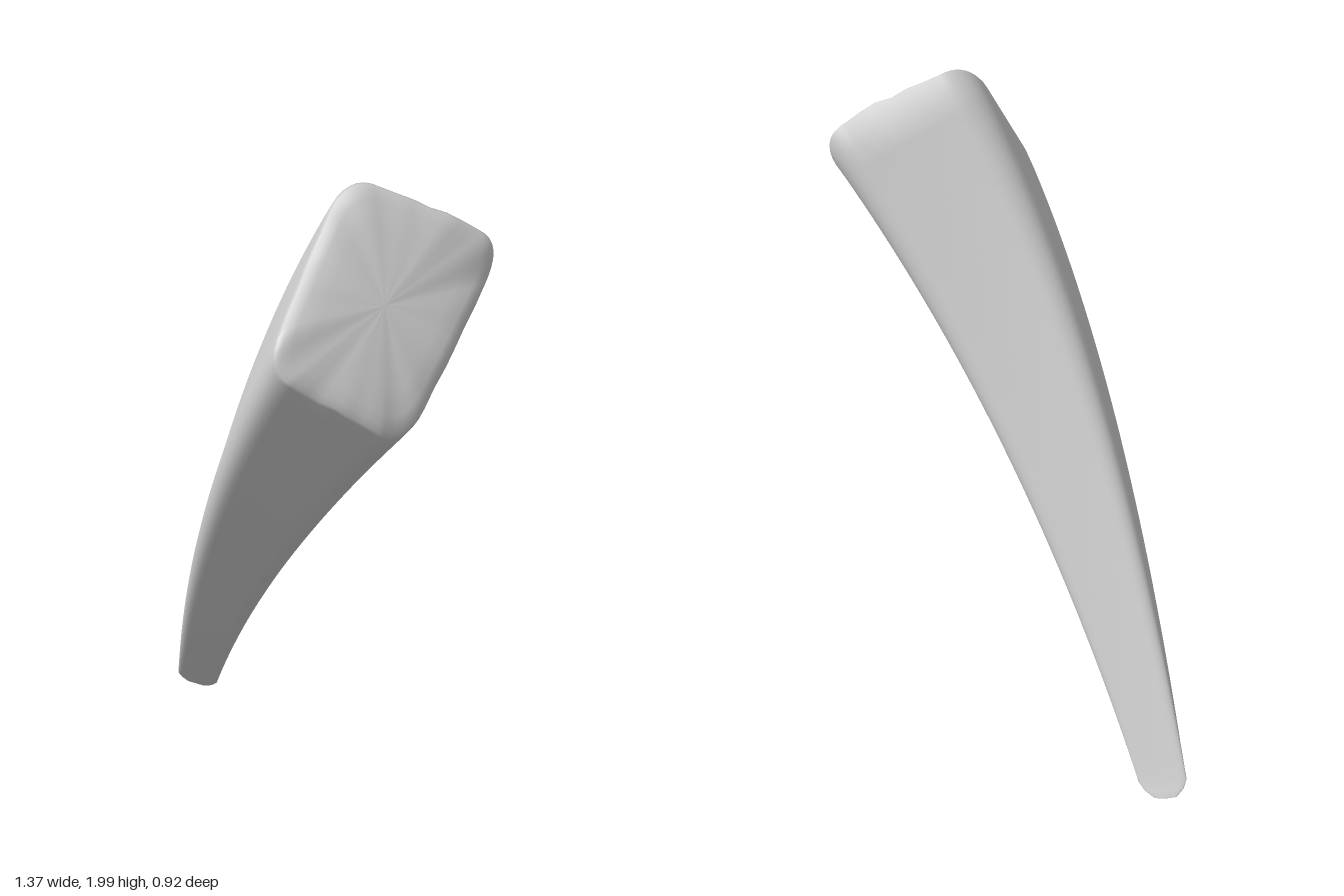
import * as THREE from 'three';

const V = (x, y, z) => new THREE.Vector3(x, y, z);

// Four long edges of the horn, each given as tip, middle and base point
const edges = [
  [V(-0.69, 0.075, -0.412), V(-0.165, 1.17, -0.10), V(0.345, 1.99, 0.03)],
  [V(-0.565, 0.045, -0.46), V(0.035, 0.97, -0.29), V(0.655, 1.79, -0.28)],
  [V(-0.555, 0.04, -0.447), V(0.045, 0.715, -0.03), V(0.66, 1.325, 0.185)],
  [V(-0.68, 0.06, -0.398), V(-0.115, 0.875, 0.14), V(0.405, 1.55, 0.46)],
].map(([a, m, b]) => new THREE.QuadraticBezierCurve3(
  a, m.clone().multiplyScalar(2).addScaledVector(a, -0.5).addScaledVector(b, -0.5), b));

// Rounded square outline in -1..1, following the order of the edges
function outline(inset, steps) {
  const corners = [[-1, -1], [1, -1], [1, 1], [-1, 1]];
  const pts = [];
  corners.forEach(([x, y], i) => {
    const toward = ([px, py], s) => new THREE.Vector2(x + (px - x) * s, y + (py - y) * s);
    const prev = corners[(i + 3) % 4], next = corners[(i + 1) % 4];
    const arc = new THREE.QuadraticBezierCurve(toward(prev, inset), new THREE.Vector2(x, y), toward(next, inset));
    pts.push(...arc.getPoints(steps));
    // Points along the flat side, so that the rim can be ragged
    for (let k = 1; k < 6; k++) pts.push(toward(next, inset + (1 - 2 * inset) * k / 6));
  });
  return pts;
}

// Point inside or on the section at t, blended between the four edges
function blend(t, u, v) {
  const weights = [(1 - u) * (1 - v), (1 + u) * (1 - v), (1 + u) * (1 + v), (1 - u) * (1 + v)];
  return edges.reduce((p, e, i) => p.addScaledVector(e.getPoint(t), weights[i] / 4), V(0, 0, 0));
}

function hornGeometry() {
  const loop = outline(0.2, 8);
  const n = loop.length;
  const tipDir = V(-0.45, -0.75, -0.4).normalize();
  const baseDir = V(0.77, 0.48, 0.42).normalize();

  // Rings: [t, width scale, depth scale, push direction, push distance]
  const rings = [
    [0, 0.001, 0.001, tipDir, 0.055],
    [0, 0.45, 0.3, tipDir, 0.052],
    [0, 0.8, 0.65, tipDir, 0.028],
  ];
  for (let i = 0; i <= 32; i++) rings.push([i / 32, 1, 1, baseDir, 0]);
  rings.push(
    [1, 0.98, 0.98, baseDir, 0.009],
    [1, 0.93, 0.93, baseDir, 0.019],
    [1, 0.84, 0.84, baseDir, 0.027],
    [1, 0.65, 0.65, baseDir, 0.032],
    [1, 0.35, 0.35, baseDir, 0.034],
    [1, 0.001, 0.001, baseDir, 0.034],
  );

  const pos = [];
  const index = [];
  rings.forEach(([t, su, sv, dir, push], r) => {
    loop.forEach((q, j) => {
      const p = blend(t, q.x * su * 1.085, q.y * sv * 1.085).addScaledVector(dir, push);
      // Ragged rim at the broad end, swelling on its upper back side
      if (t === 1) {
        const a = Math.atan2(q.y, q.x);
        const swell = 0.035 * Math.max(0, -q.y) * (1 - q.x * q.x);
        const rag = 0.006 * (Math.sin(5 * a + 1) + 0.8 * Math.sin(13 * a));
        p.addScaledVector(baseDir, (swell + rag) * su * su);
      }
      pos.push(p.x, p.y, p.z);
      if (r < rings.length - 1) {
        const k = (j + 1) % n;
        const a0 = r * n + j, b0 = r * n + k;
        index.push(a0, a0 + n, b0 + n, a0, b0 + n, b0);
      }
    });
  });

  const geo = new THREE.BufferGeometry();
  geo.setAttribute('position', new THREE.Float32BufferAttribute(pos, 3));
  geo.setIndex(index);
  geo.computeVertexNormals();
  // Centre on x and z, stand on the ground
  geo.computeBoundingBox();
  const c = geo.boundingBox.getCenter(V(0, 0, 0));
  geo.translate(-c.x, -geo.boundingBox.min.y, -c.z);
  return geo;
}

export function createModel() {
  const group = new THREE.Group();
  const horn = new THREE.Mesh(hornGeometry(), new THREE.MeshStandardMaterial({ color: 0xcccccc }));
  horn.name = 'horn';
  group.add(horn);
  return group;
}
